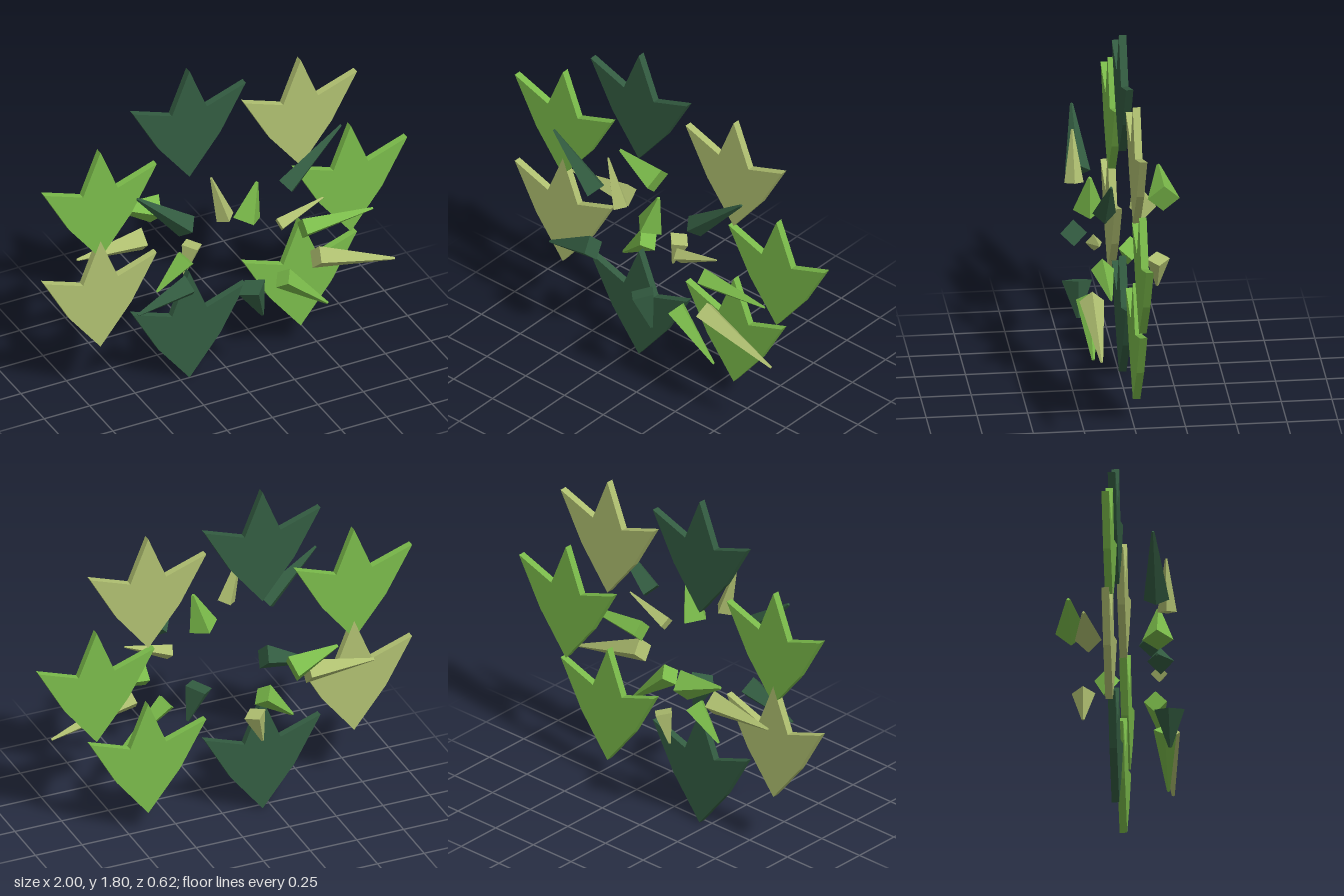
import * as THREE from 'three';

export function createModel() {
  const group = new THREE.Group();
  const mat = (name, color) => {
    const m = new THREE.MeshStandardMaterial({ color, flatShading: true });
    m.name = name;
    return m;
  };
  const dark = mat('darkGreen', 0x335c41);
  const green = mat('leafGreen', 0x7aba4a);
  const olive = mat('paleOlive', 0xafbf70);

  // Three-pointed leaf plate, origin at its lower tip
  const half = [[0.17, 0.214], [0.31, 0.46], [0.096, 0.385]];
  const outline = [[0, 0], ...half, [0, 0.62], ...half.map(([x, y]) => [-x, y]).reverse()];
  const leafGeo = new THREE.ExtrudeGeometry(
    new THREE.Shape(outline.map(([x, y]) => new THREE.Vector2(x, y))),
    { depth: 0.037, bevelEnabled: false }
  );
  leafGeo.translate(0, 0, -0.037);

  // Ring of leaves: tip x, tip y, colour
  [
    [-0.2, 1.18, dark], [0.412, 1.06, olive], [0.688, 0.59, green], [0.412, 0.12, green],
    [-0.2, 0, dark], [-0.69, 0.33, olive], [-0.69, 0.85, green],
  ].forEach(([x, y, m], i) => {
    const leaf = new THREE.Mesh(leafGeo, m);
    leaf.name = `leaf${i + 1}`;
    leaf.position.set(x, y, 0);
    group.add(leaf);
  });

  // Four-sided spikes pointing outward: base x, y, tip x, y, depth z, radius, colour
  [
    [-0.313, 1.035, -0.585, 1.278, 0.19, 0.063, dark],
    [-0.123, 1.056, -0.2, 1.31, 0.23, 0.048, olive],
    [0.024, 0.976, 0.08, 1.168, 0.175, 0.077, green],
    [0.267, 1.059, 0.57, 1.326, 0.125, 0.058, dark],
    [0.206, 0.877, 0.449, 0.963, 0.17, 0.041, olive],
    [0.348, 0.794, 0.735, 0.797, 0.143, 0.057, green],
    [0.393, 0.647, 0.826, 0.508, 0.2, 0.061, olive],
    [0.211, 0.578, 0.457, 0.358, 0.2, 0.058, green],
    [0.024, 0.599, 0.083, 0.422, 0.232, 0.075, dark],
    [-0.094, 0.642, -0.136, 0.481, -0.182, 0.058, olive],
    [-0.19, 0.663, -0.35, 0.513, -0.06, 0.063, green],
    [-0.313, 0.703, -0.592, 0.61, 0.21, 0.066, dark],
    [-0.275, 0.882, -0.516, 0.957, -0.23, 0.079, green],
    [-0.39, 0.791, -0.749, 0.775, -0.14, 0.066, olive],
  ].forEach(([bx, by, tx, ty, z, r, m], i) => {
    const dx = tx - bx, dy = ty - by;
    const spike = new THREE.Mesh(new THREE.CylinderGeometry(r * 0.12, r, Math.hypot(dx, dy), 4), m);
    spike.name = `spike${i + 1}`;
    spike.position.set((bx + tx) / 2, (by + ty) / 2, z);
    spike.rotation.z = Math.atan2(-dx, dy);
    group.add(spike);
  });

  return group;
}
